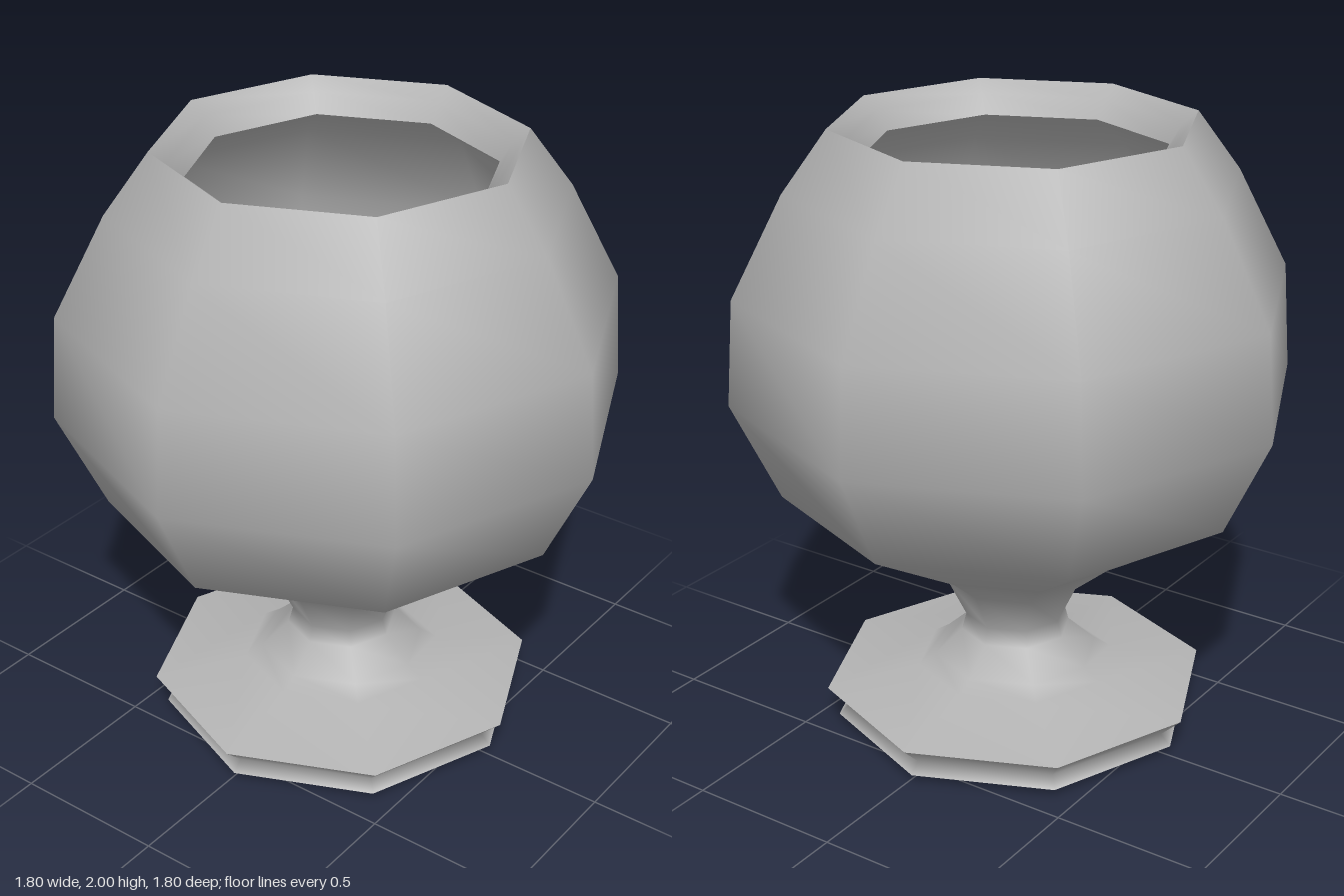
import * as THREE from 'three';

// Every part is turned with eight sides; the corners sit just off the axes.
const SIDES = 8;
const TURN = 0.02;

export function createModel() {
  const group = new THREE.Group();
  const grey = new THREE.MeshStandardMaterial({ color: 0xb4b4b4 });
  grey.name = 'grey glass';

  // Turn a list of [radius, height] pairs around the y axis
  const turned = (name, profile) => {
    const points = profile.map(([r, y]) => new THREE.Vector2(r, y));
    const mesh = new THREE.Mesh(new THREE.LatheGeometry(points, SIDES, TURN), grey);
    mesh.name = name;
    group.add(mesh);
  };

  // Flat underside and the stepped edge of the foot
  turned('footUnderside', [[0, 0], [0.5, 0]]);
  turned('footStep', [[0.5, 0], [0.52, 0.02]]);
  turned('footLedge', [[0.52, 0.02], [0.595, 0.026]]);
  turned('footEdge', [[0.595, 0.026], [0.56, 0.06], [0.63, 0.127]]);

  // Foot top flowing through the narrow stem into the round bowl
  turned('footStemAndBowl', [
    [0.63, 0.127], [0.325, 0.18], [0.27, 0.217], [0.18, 0.3], [0.165, 0.355],
    [0.23, 0.49], [0.35, 0.59], [0.75, 0.83], [0.9, 1.15], [0.875, 1.49],
    [0.71, 1.81], [0.57, 2],
  ]);

  // Lip sloping inwards, then the hollow inside of the bowl
  turned('lip', [[0.57, 2], [0.52, 1.96], [0.48, 1.9]]);
  turned('bowlInside', [
    [0.48, 1.9], [0.66, 1.78], [0.82, 1.48], [0.845, 1.16], [0.71, 0.87],
    [0.33, 0.65], [0, 0.6],
  ]);

  return group;
}
